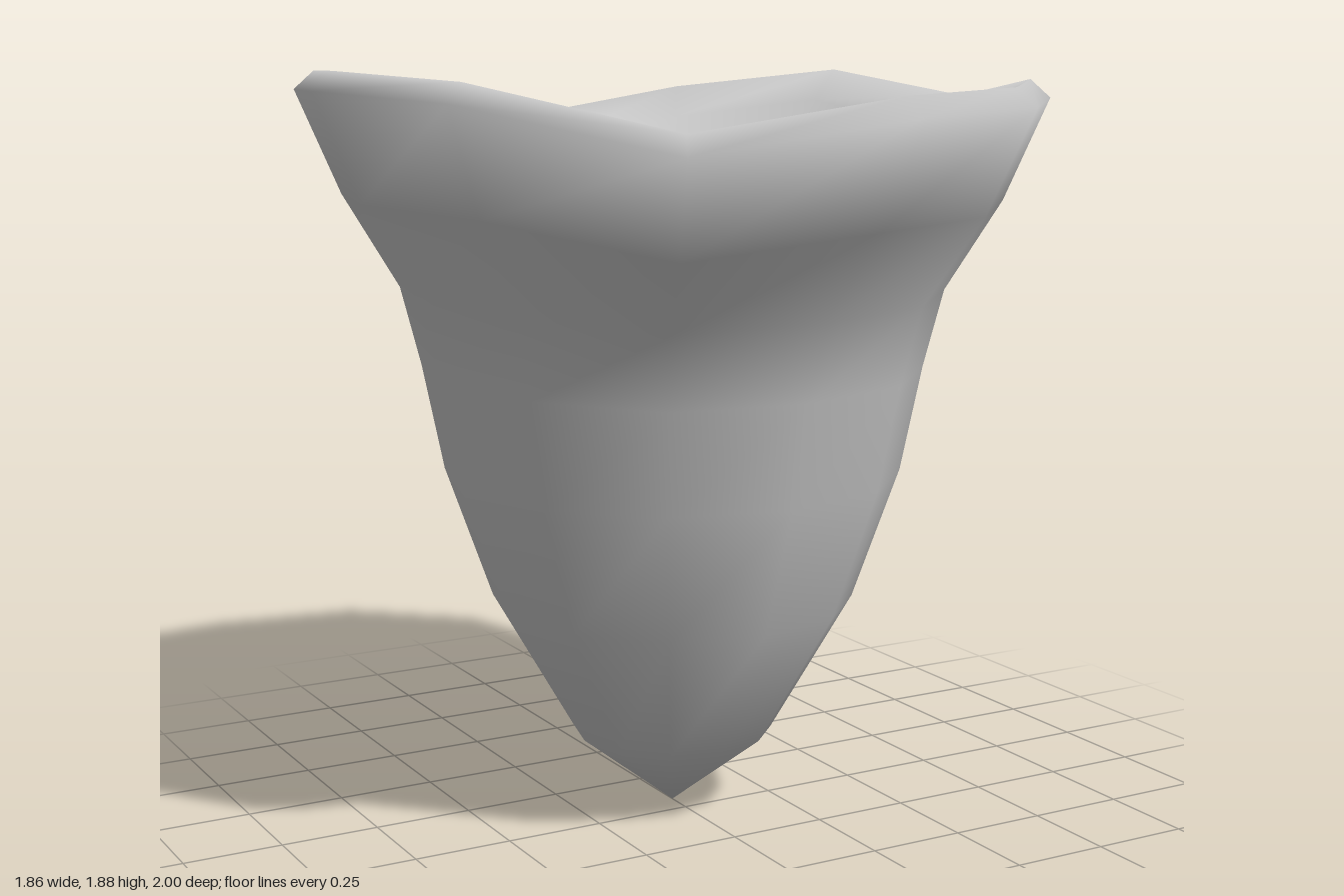
import * as THREE from 'three';
import { mergeVertices } from 'three/addons/utils/BufferGeometryUtils.js';

const SIDES = 12;
const CENTRE_Z = -0.07;

// Rim height at each side, from the front round by +x
const RIM = [1.845, 1.85, 1.855, 1.80, 1.86, 1.81, 1.73, 1.805, 1.875, 1.885, 1.87, 1.77];
// Forward stretch of the rim: a pointed front
const STRETCH = [1.15, 1.055, 1, 1, 1, 1, 1, 1, 1, 1, 1.03, 1.12];

// Profile up the outside, over the lip and down the shallow inside bowl:
// radius, height, how strongly the uneven rim affects the ring
const PROFILE = [
  [0, 0, 0], [0.255, 0.2, 0], [0.46, 0.55, 0], [0.577, 0.88, 0], [0.63, 1.14, 0.1],
  [0.68, 1.33, 0.25], [0.82, 1.54, 0.75], [0.93, 1.785, 1], [0.88, 1.83, 1],
  [0.77, 1.75, 1], [0.52, 1.44, 0.5], [0.26, 1.17, 0.1], [0, 1.04, 0],
];

// Smooth normals in which every face counts equally, so the narrow lip stays soft
function softenNormals(geometry) {
  const position = geometry.attributes.position;
  const index = geometry.index.array;
  const sums = Array.from({ length: position.count }, () => new THREE.Vector3());
  const triangle = new THREE.Triangle();
  const faceNormal = new THREE.Vector3();
  for (let i = 0; i < index.length; i += 3) {
    const corners = [index[i], index[i + 1], index[i + 2]];
    triangle.setFromAttributeAndIndices(position, ...corners);
    triangle.getNormal(faceNormal);
    corners.forEach((c) => sums[c].add(faceNormal));
  }
  const normals = sums.flatMap((n) => n.normalize().toArray());
  geometry.setAttribute('normal', new THREE.Float32BufferAttribute(normals, 3));
}

function cupGeometry() {
  const positions = [];
  const index = [];
  PROFILE.forEach(([r, y, w], i) => {
    for (let k = 0; k < SIDES; k++) {
      const a = (k / SIDES) * Math.PI * 2;
      const forward = 1 + w * (STRETCH[k] - 1);
      positions.push(r * Math.sin(a), y + w * (RIM[k] - 1.83), CENTRE_Z + r * forward * Math.cos(a));
      if (i === PROFILE.length - 1) continue;
      const p = i * SIDES + k, q = i * SIDES + ((k + 1) % SIDES);
      // Triangles that collapse at the two tips are left out
      if (r > 0) index.push(p, q, q + SIDES);
      if (PROFILE[i + 1][0] > 0) index.push(p, q + SIDES, p + SIDES);
    }
  });
  const rings = new THREE.BufferGeometry();
  rings.setAttribute('position', new THREE.Float32BufferAttribute(positions, 3));
  rings.setIndex(index);
  const geometry = mergeVertices(rings, 1e-4);
  softenNormals(geometry);
  return geometry;
}

export function createModel() {
  const group = new THREE.Group();
  group.name = 'taperedCup';
  const cup = new THREE.Mesh(cupGeometry(), new THREE.MeshStandardMaterial({ color: 0xcccccc }));
  cup.name = 'cupShell';
  group.add(cup);
  return group;
}
